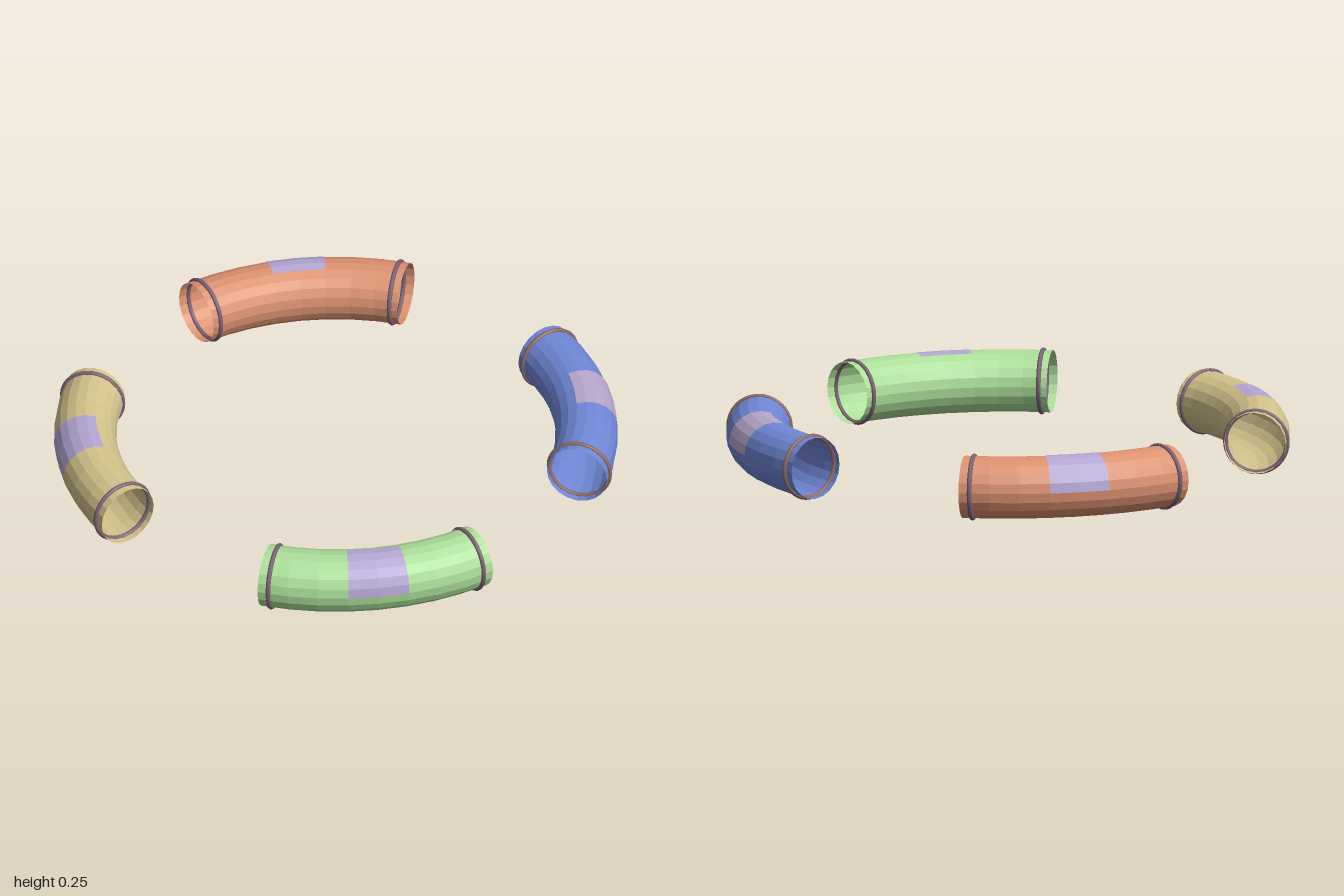
import * as THREE from 'three';

const BEND = 0.947, TUBE = 0.118, HEIGHT = 0.127;
const rad = THREE.MathUtils.degToRad;

// Faceted piece of a bent tube: bend angles a0..a1, section angles t0..t1 (0 = outer side, 90 = top)
function bentSurface(radius, a0, a1, aSteps, t0, t1, tSteps) {
  const plane = new THREE.PlaneGeometry(1, 1, aSteps, tSteps);
  const p = plane.attributes.position;
  for (let i = 0; i < p.count; i++) {
    const a = rad(a1 + (a0 - a1) * (p.getX(i) + 0.5));
    const t = rad(t0 + (t1 - t0) * (p.getY(i) + 0.5));
    const r = BEND + radius * Math.cos(t);
    p.setXYZ(i, r * Math.cos(a), HEIGHT + radius * Math.sin(t), r * Math.sin(a));
  }
  const geometry = plane.toNonIndexed();
  geometry.computeVertexNormals();
  return geometry;
}

function paint(name, color, side = THREE.FrontSide) {
  const m = new THREE.MeshStandardMaterial({ color, side });
  m.name = name;
  return m;
}

export function createModel() {
  const model = new THREE.Group();
  model.name = 'bentTubes';

  const purpleRing = paint('dark purple', 0x7c6475);
  const brownRing = paint('brown', 0x8c6a62);
  const lilac = paint('lilac', 0xb4a6d4);
  const pinkLilac = paint('pinkish lilac', 0xb8a8cc);

  // One entry per quarter, starting at +x +z and turning about y
  const tubes = [
    ['greenTube', paint('green', 0xabde98, THREE.DoubleSide), purpleRing, lilac],
    ['blueTube', paint('blue', 0x7088d8, THREE.DoubleSide), brownRing, pinkLilac],
    ['orangeTube', paint('orange', 0xdc9270, THREE.DoubleSide), purpleRing, lilac],
    ['yellowTube', paint('yellow', 0xd4c48c, THREE.DoubleSide), purpleRing, lilac],
  ];

  const bodyGeometry = bentSurface(TUBE, 20, 70, 8, 0, 360, 20);
  const patchGeometry = bentSurface(TUBE + 0.002, 38.75, 51.25, 2, 0, 108, 6);
  const ringGeometry = new THREE.TorusGeometry(0.118, 0.009, 8, 40);

  tubes.forEach(([name, bodyPaint, ringPaint, patchPaint], k) => {
    const tube = new THREE.Group();
    tube.name = name;
    const add = (part, geometry, material) => {
      const mesh = new THREE.Mesh(geometry, material);
      mesh.name = part;
      tube.add(mesh);
      return mesh;
    };
    add('body', bodyGeometry, bodyPaint);
    add('patch', patchGeometry, patchPaint);

    // A ring close to each open end
    for (const degrees of [22.2, 67.8]) {
      const a = rad(degrees);
      const ring = add('endRing', ringGeometry, ringPaint);
      ring.position.set(BEND * Math.cos(a), HEIGHT, BEND * Math.sin(a));
      ring.rotation.y = -a;
    }
    tube.rotation.y = k * Math.PI / 2;
    model.add(tube);
  });

  return model;
}
